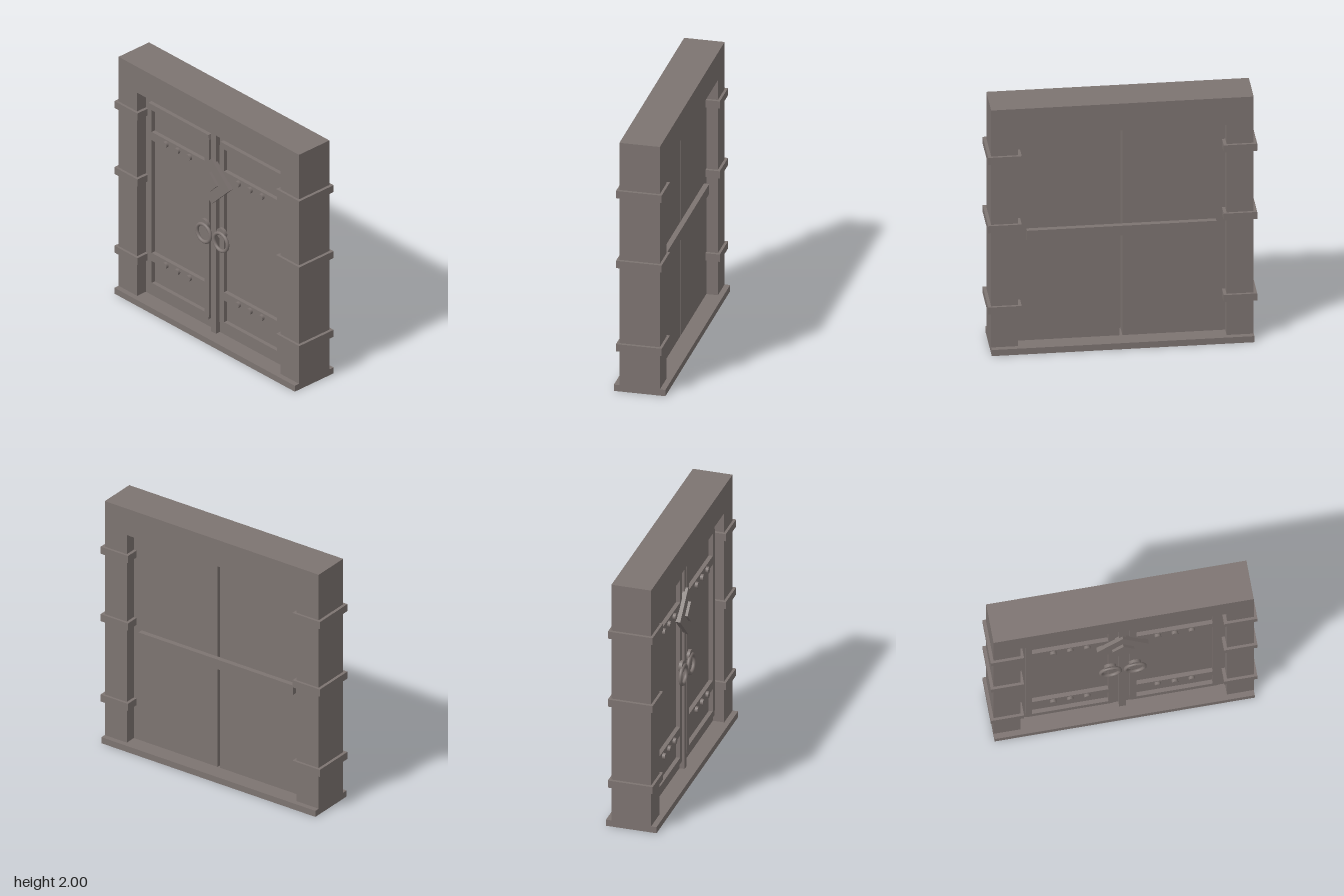
import * as THREE from 'three';

const material = new THREE.MeshStandardMaterial({ color: 0x7d7471 });

function add(parent, name, geometry, x = 0, y = 0, z = 0) {
  const mesh = new THREE.Mesh(geometry, material);
  mesh.name = name;
  mesh.position.set(x, y, z);
  parent.add(mesh);
  return mesh;
}

// Box given by its limits on each axis
function block(parent, name, [x0, x1], [y0, y1], [z0, z1]) {
  const geometry = new THREE.BoxGeometry(x1 - x0, y1 - y0, z1 - z0);
  return add(parent, name, geometry, (x0 + x1) / 2, (y0 + y1) / 2, (z0 + z1) / 2);
}

const polygon = (points) => points.map(([x, y]) => new THREE.Vector2(x, y));
const rect = (x0, x1, y0, y1) => polygon([[x0, y0], [x0, y1], [x1, y1], [x1, y0]]);
const extrude = (shape, depth) => new THREE.ExtrudeGeometry(shape, { depth, bevelEnabled: false });

const DOOR_Z = 0.065; // door slab half thickness
const PANEL_Z = 0.097; // front of the raised panelling

// One door leaf; side is +1 for the left leaf and -1 for the right
function createDoor(side) {
  const door = new THREE.Group();
  door.name = side > 0 ? 'leftDoor' : 'rightDoor';
  const span = (a, b) => (side > 0 ? [a, b] : [-b, -a]);

  block(door, 'doorSlab', span(0.01, 0.77), [0.05, 1.78], [-DOOR_Z, DOOR_Z]);

  // Raised stiles and rails with slightly clipped outer corners
  const [x0, x1] = span(0.056, 0.72);
  const panelling = new THREE.Shape(polygon([
    [x0 + 0.01, 0.13], [x1 - 0.01, 0.13], [x1, 0.17], [x1, 1.66],
    [x1 - 0.01, 1.7], [x0 + 0.01, 1.7], [x0, 1.66], [x0, 0.17],
  ]));
  const [h0, h1] = span(0.104, 0.674);
  for (const [y0, y1] of [[0.18, 0.365], [0.435, 1.395], [1.465, 1.65]]) {
    panelling.holes.push(new THREE.Path(rect(h0, h1, y0, y1)));
  }
  add(door, 'panelling', extrude(panelling, PANEL_Z - DOOR_Z), 0, 0, DOOR_Z);

  // Rivets along both rails
  const rivet = new THREE.CylinderGeometry(0.024, 0.024, 0.025, 16).rotateX(Math.PI / 2);
  for (const y of [0.4, 1.43]) {
    for (const x of [0.263, 0.39, 0.516]) add(door, 'rivet', rivet, side * x, y, PANEL_Z + 0.01);
  }

  // Ring pull on a round mount
  const mount = new THREE.CylinderGeometry(0.045, 0.045, 0.025, 24).rotateX(Math.PI / 2);
  add(door, 'ringMount', mount, side * 0.092, 0.935, PANEL_Z + 0.01);
  add(door, 'ringPull', new THREE.TorusGeometry(0.072, 0.014, 12, 40), side * 0.092, 0.865, 0.118);
  return door;
}

export function createModel() {
  const model = new THREE.Group();
  model.name = 'doubleDoor';

  // Surrounding frame and sill
  const frame = new THREE.Shape(polygon([
    [-0.97, 0.05], [-0.77, 0.05], [-0.77, 1.78], [0.77, 1.78],
    [0.77, 0.05], [0.97, 0.05], [0.97, 2], [-0.97, 2],
  ]));
  add(model, 'frame', extrude(frame, 0.306), 0, 0, -0.153);
  block(model, 'sill', [-0.97, 0.97], [0, 0.05], [-0.195, 0.195]);

  // Bands around the posts
  for (const side of [-1, 1]) {
    for (const y of [0.36, 1.03, 1.592]) {
      add(model, 'postBand', new THREE.BoxGeometry(0.248, 0.058, 0.346), side * 0.87, y);
    }
    model.add(createDoor(side));
  }

  // Strip covering the joint, and the bar across the back
  block(model, 'centreStrip', [-0.025, 0.025], [0.05, 1.78], [0.055, 0.105]);
  block(model, 'backBar', [-0.7, 0.7], [0.89, 0.97], [-0.105, -DOOR_Z]);

  // Diamond plate with a smaller raised diamond
  const diamond = (r) => new THREE.Shape(polygon([[0, -r], [r, 0], [0, r], [-r, 0]]));
  add(model, 'diamondPlate', extrude(diamond(0.193), 0.036), 0, 1.347, 0.09);
  add(model, 'diamondBoss', extrude(diamond(0.082), 0.022), 0, 1.347, 0.125);

  return model;
}
